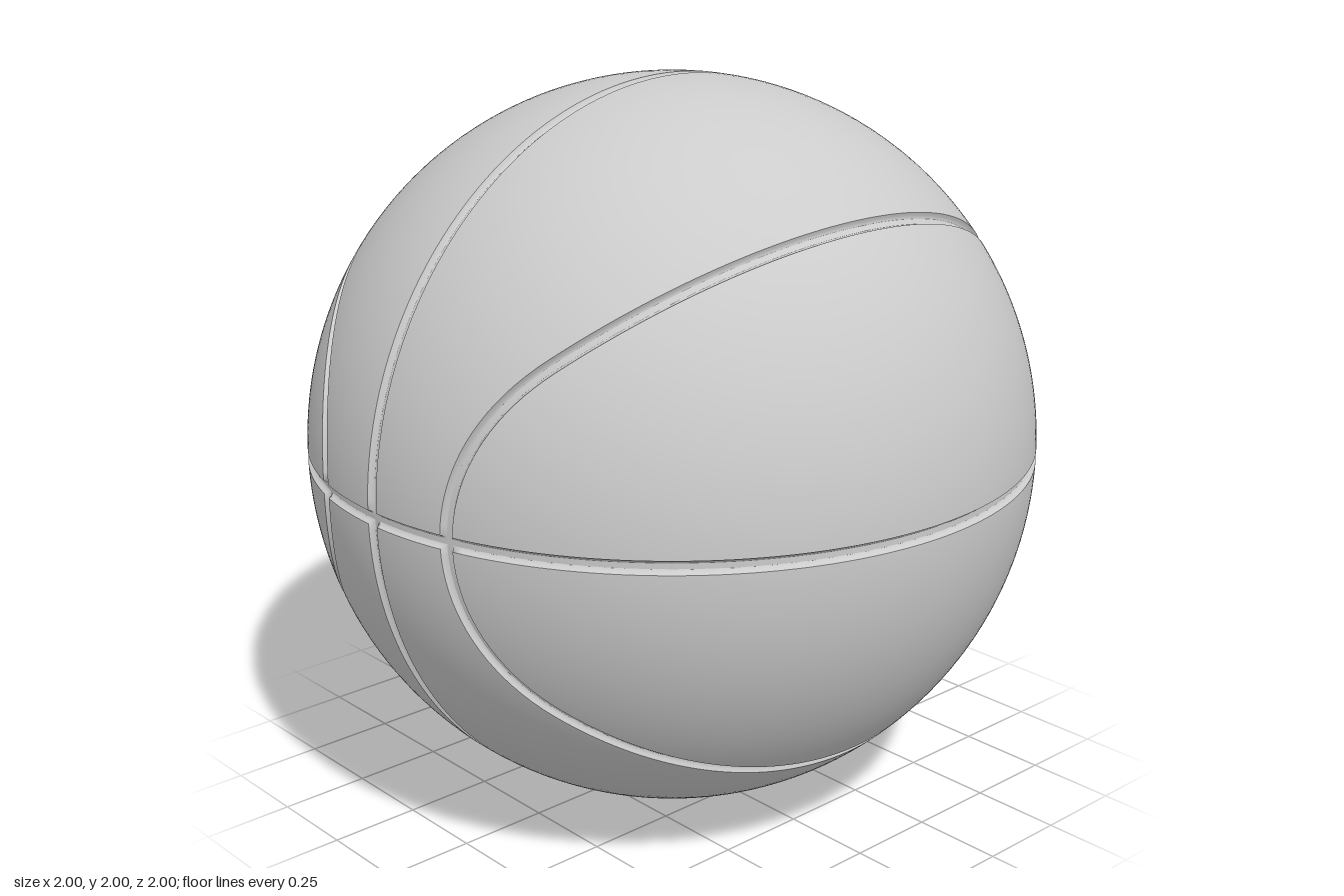
import * as THREE from 'three';
import { mergeGeometries } from 'three/addons/utils/BufferGeometryUtils.js';

const CORNER = 0.888;                 // centre of the arc that rounds the curved seam
const ARC = CORNER * Math.SQRT1_2;    // its radius
const FLOOR = 0.986;                  // radius at the bottom of the grooves
// panel rim: [distance from the groove centre line, radius]
const RIM = [[0.018, 1], [0.0145, 0.992], [0.01, 0.987], [0.005, 0.9845]];
const lerp = THREE.MathUtils.lerp;

function onSphere(y, z) {
  return new THREE.Vector3(Math.sqrt(Math.max(0, 1 - y * y - z * z)), y, z);
}

// Curved seam shifted sideways by o, from the equator (s = 0) to the x = 0 plane (s = 1)
function seam(s, o, e) {
  const r = ARC - o, split = 0.36;
  if (s < split) {
    const a = lerp(Math.asin(e / r), Math.PI / 4, s / split);
    return onSphere(r * Math.sin(a), CORNER - r * Math.cos(a));
  }
  const k = Math.sqrt(1 - o * o);
  const a = lerp(Math.asin(ARC / k), Math.PI / 2, (s - split) / (1 - split));
  const along = k * Math.sin(a);
  return onSphere((along - o) * Math.SQRT1_2, (along + o) * Math.SQRT1_2);
}

// Point along a straight seam at distance e, starting at height 'from'
function straight(s, e, from) {
  const k = Math.sqrt(1 - e * e);
  return k * Math.sin(lerp(Math.asin(from / k), Math.PI / 2, s));
}

// Panel between the curved seam and the upright ring
function ringPanel(s, t, e) {
  return seam(s, -e, e).lerp(onSphere(straight(s, e, e), e), t).normalize();
}

// Lens-shaped panel between the curved seam and the equator
function lensPanel(s, t, e) {
  const z = straight(s, e, seam(0, e, e).z);
  return seam(s, e, e).lerp(onSphere(e, z), t).normalize();
}

// Grid of points with every face turned outwards; round = normals of a sphere
function grid(rows, round) {
  const n = rows[0].length, pos = [], index = [];
  rows.flat().forEach(p => pos.push(p.x, p.y, p.z));
  const pts = rows.flat(), u = new THREE.Vector3(), v = new THREE.Vector3();
  const face = (a, b, c) => {
    u.subVectors(pts[b], pts[a]);
    v.subVectors(pts[c], pts[a]);
    const d = u.cross(v).dot(pts[a]);
    if (Math.abs(d) < 1e-12) return;
    if (d > 0) index.push(a, b, c);
    else index.push(a, c, b);
  };
  for (let i = 0; i < rows.length - 1; i++) {
    for (let j = 0; j < n - 1; j++) {
      const a = i * n + j;
      face(a, a + 1, a + n);
      face(a + 1, a + n + 1, a + n);
    }
  }
  const g = new THREE.BufferGeometry();
  g.setAttribute('position', new THREE.Float32BufferAttribute(pos, 3));
  g.setIndex(index);
  if (round) {
    const nor = pts.flatMap(p => p.clone().normalize().toArray());
    g.setAttribute('normal', new THREE.Float32BufferAttribute(nor, 3));
  } else g.computeVertexNormals();
  return g;
}

// One panel, made of two halves mirrored across x
function panelGeometry(fn, sy, sz, closedEnd) {
  const S = 50, T = 24, parts = [];
  // rim path: along the curved seam, across the equator end, back along the other edge
  const path = [];
  for (let i = S; i >= 0; i--) path.push([i / S, 0]);
  if (!closedEnd) for (let j = 1; j < T; j++) path.push([0, j / T]);
  for (let i = closedEnd ? 1 : 0; i <= S; i++) path.push([i / S, 1]);

  for (const sx of [1, -1]) {
    const flip = new THREE.Vector3(sx, sy, sz);
    const surface = [];
    for (let i = 0; i <= S; i++) {
      const row = [];
      for (let j = 0; j <= T; j++) row.push(fn(i / S, j / T, RIM[0][0]).multiply(flip));
      surface.push(row);
    }
    parts.push(grid(surface, true));
    const rim = RIM.map(([e, r]) =>
      path.map(([s, t]) => fn(s, t, e).multiplyScalar(r).multiply(flip)));
    parts.push(grid(rim, false));
  }
  return mergeGeometries(parts);
}

export function createModel() {
  const ball = new THREE.Group();
  ball.name = 'ball';
  const material = new THREE.MeshStandardMaterial({ color: 0xcccccc });
  const add = (name, geometry) => {
    const mesh = new THREE.Mesh(geometry, material);
    mesh.name = name;
    mesh.position.y = 1;
    ball.add(mesh);
  };

  // Groove floor showing between the panels
  add('grooveFloor', new THREE.SphereGeometry(FLOOR, 128, 80));

  // Eight raised panels
  for (const sy of [1, -1]) {
    for (const sz of [1, -1]) {
      const where = (sy > 0 ? 'Upper' : 'Lower') + (sz > 0 ? 'Front' : 'Back');
      add('ringPanel' + where, panelGeometry(ringPanel, sy, sz, false));
      add('lensPanel' + where, panelGeometry(lensPanel, sy, sz, true));
    }
  }
  return ball;
}
